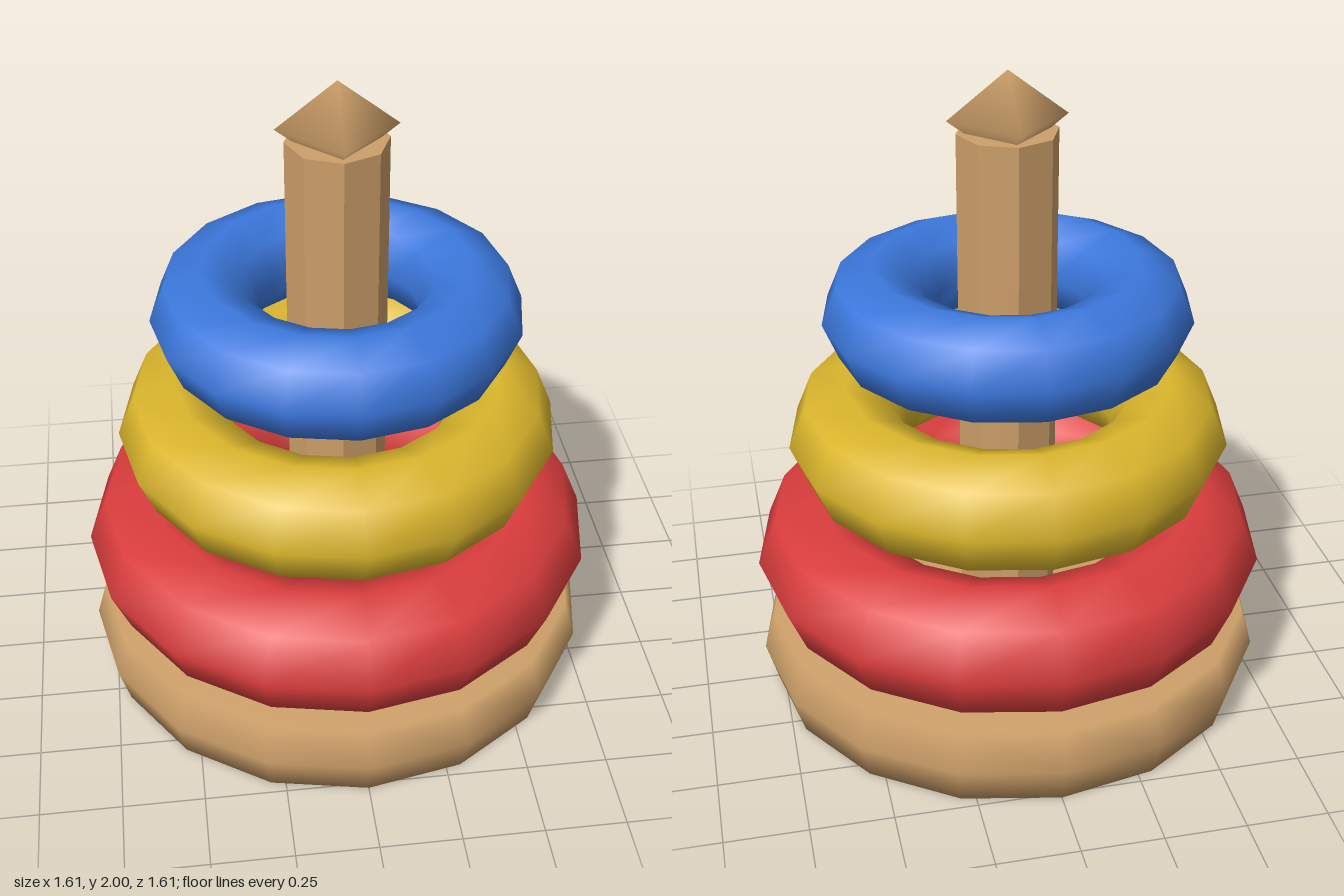
import * as THREE from 'three';

export function createModel() {
  const model = new THREE.Group();
  model.name = 'stackingRings';

  const mat = (name, color, flat = false) => {
    const m = new THREE.MeshStandardMaterial({ color });
    m.name = name;
    m.flatShading = flat;
    return m;
  };
  const wood = mat('wood', 0xcc9f69);
  const red = mat('red', 0xdb3d3d);
  const yellow = mat('yellow', 0xdbb62c);
  const blue = mat('blue', 0x3c78dd);

  const add = (name, geometry, material, y = 0) => {
    const mesh = new THREE.Mesh(geometry, material);
    mesh.name = name;
    mesh.position.y = y;
    model.add(mesh);
    return mesh;
  };

  // Base: a 16-sided disc with a slightly bulging rim
  const profile = [[0, 0], [0.77, 0], [0.805, 0.122], [0.77, 0.245], [0, 0.245]];
  add('base', new THREE.LatheGeometry(profile.map(([x, y]) => new THREE.Vector2(x, y)), 16), wood);

  // Pole: an eight-sided post with flat faces
  const pole = new THREE.CylinderGeometry(0.153, 0.153, 1.62, 8).toNonIndexed();
  pole.computeVertexNormals();
  add('pole', pole, wood, 1.01);

  // Finial: a softly shaded four-sided diamond, sunk into the pole
  const finial = new THREE.SphereGeometry(0.18, 4, 2);
  finial.scale(1, 0.14 / 0.18, 1);
  add('finial', finial, wood, 1.86);

  // Rings: octagonal section, 16 segments round
  const rings = [
    ['largeRing', red, 0.605, 0.2, 0.445],
    ['mediumRing', yellow, 0.505, 0.18, 0.85],
    ['smallRing', blue, 0.405, 0.16, 1.255],
  ];
  for (const [name, material, radius, tube, y] of rings) {
    const ring = new THREE.TorusGeometry(radius, tube, 8, 16);
    ring.rotateX(Math.PI / 2);
    add(name, ring, material, y);
  }

  return model;
}
